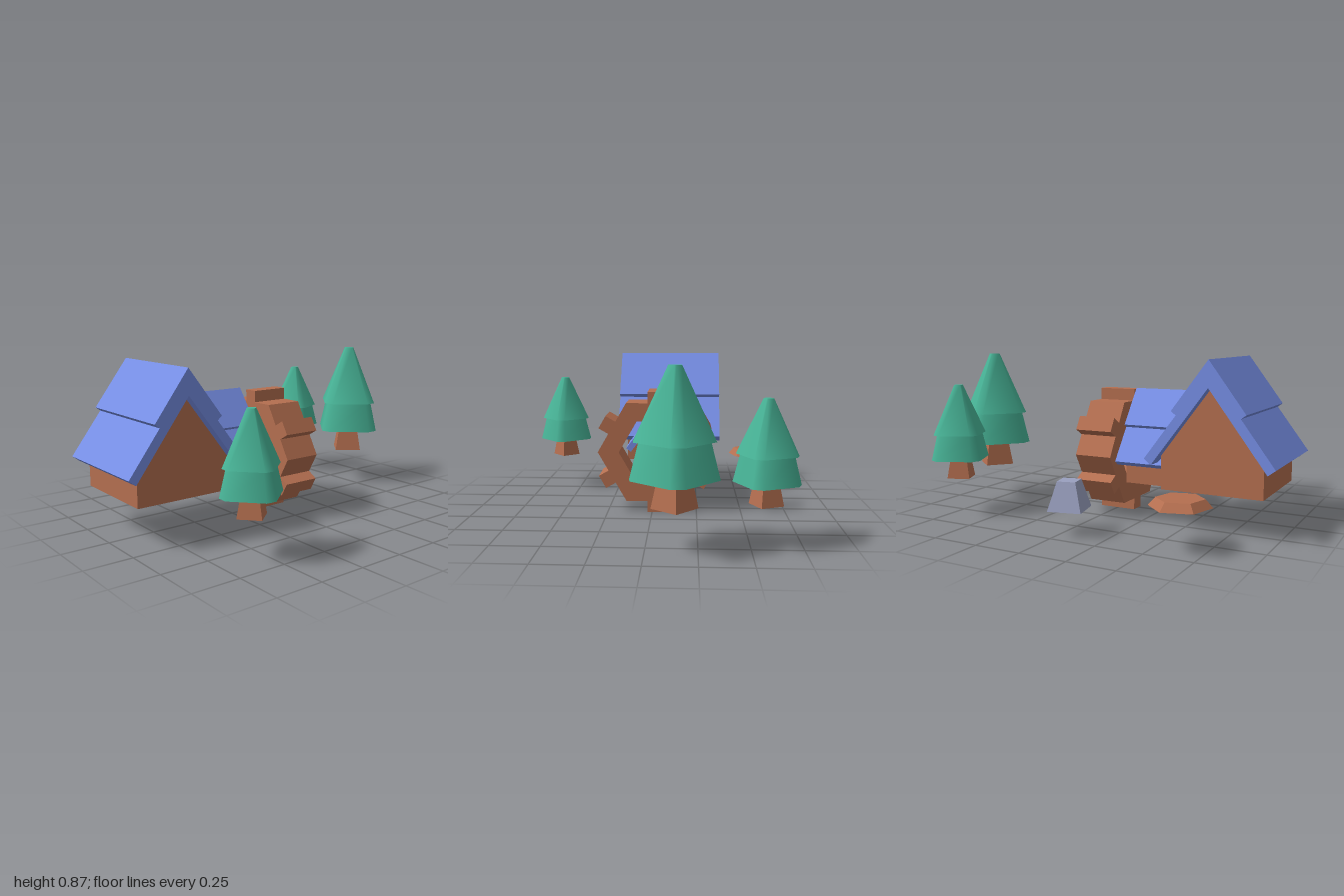
import * as THREE from 'three';

const brown = new THREE.MeshStandardMaterial({ color: 0xb56f50, side: THREE.DoubleSide });
const blue = new THREE.MeshStandardMaterial({ color: 0x778fe6 });
const green = new THREE.MeshStandardMaterial({ color: 0x48b497 });
const grey = new THREE.MeshStandardMaterial({ color: 0x9aa0bf, side: THREE.DoubleSide });
brown.name = 'brown wood';
blue.name = 'blue roof';
green.name = 'green foliage';
grey.name = 'grey stone';

const BASE = 0.205;
const rad = THREE.MathUtils.degToRad;

function add(parent, name, geometry, material, x = 0, y = 0, z = 0) {
  const mesh = new THREE.Mesh(geometry, material);
  mesh.name = name;
  mesh.position.set(x, y, z);
  parent.add(mesh);
  return mesh;
}

function polygon(points) {
  return new THREE.Shape(points.map(([x, y]) => new THREE.Vector2(x, y)));
}

// Extrusion centred on z
function extrude(shape, depth) {
  const g = new THREE.ExtrudeGeometry(shape, { depth, bevelEnabled: false });
  return g.translate(0, 0, -depth / 2);
}

// Tapered prism with flat faces
function prism(top, bottom, height, sides, open = false) {
  const g = new THREE.CylinderGeometry(top, bottom, height, sides, 1, open).toNonIndexed();
  g.computeVertexNormals();
  return g;
}

// Tapered square with narrow cut corners, smooth around
function foliage(top, bottom, height) {
  const g = new THREE.CylinderGeometry(top, bottom, height, 8, 1, false, Math.PI / 8);
  const p = g.attributes.position;
  for (let i = 0; i < p.count; i++) {
    const r = Math.hypot(p.getX(i), p.getZ(i));
    const a = Math.atan2(p.getX(i), p.getZ(i));
    const corner = Math.round(a / (Math.PI / 2)) * Math.PI / 2;
    const b = corner + (a - corner) * 0.42;
    p.setX(i, r * Math.sin(b));
    p.setZ(i, r * Math.cos(b));
  }
  return g;
}

// Gabled house with its ridge along z and a two-layer roof
function house(name, hasFloor) {
  const group = new THREE.Group();
  group.name = name;
  const w = 0.265, wall = 0.172, apex = 0.525, half = 0.26;
  const gable = polygon([[-w, 0], [w, 0], [w, wall], [0, apex], [-w, wall]]);
  for (const side of [1, -1]) {
    const end = add(group, 'gableWall', new THREE.ShapeGeometry(gable), brown, 0, 0, side * half);
    if (side < 0) end.rotation.y = Math.PI;
    const long = add(group, 'sideWall', new THREE.PlaneGeometry(half * 2, wall), brown, side * w, wall / 2, 0);
    long.rotation.y = side * Math.PI / 2;
  }
  if (hasFloor) {
    const floor = add(group, 'floor', new THREE.PlaneGeometry(w * 2, half * 2), brown);
    floor.rotation.x = Math.PI / 2;
  }
  const lower = polygon([[0, 0.605], [-0.335, 0.16], [-0.297, 0.131], [0, 0.525], [0.297, 0.131], [0.335, 0.16]]);
  const upper = polygon([[0, 0.66], [-0.19, 0.407], [-0.164, 0.387], [0, 0.605], [0.164, 0.387], [0.19, 0.407]]);
  add(group, 'lowerRoof', extrude(lower, 0.63), blue);
  add(group, 'upperRoof', extrude(upper, 0.63), blue);
  return group;
}

// Hexagonal ring with a paddle in the middle of each side
function waterWheel() {
  const group = new THREE.Group();
  group.name = 'waterWheel';
  const hexagon = (r) => Array.from({ length: 6 }, (_, i) =>
    [r * Math.cos(i * Math.PI / 3), r * Math.sin(i * Math.PI / 3)]);
  const ring = polygon(hexagon(0.32));
  ring.holes.push(polygon(hexagon(0.202)));
  add(group, 'wheelRing', extrude(ring, 0.21), brown);
  for (let i = 0; i < 6; i++) {
    const a = rad(30 + 60 * i);
    const r = 0.307;
    const paddle = add(group, 'paddle', new THREE.BoxGeometry(0.066, 0.08, 0.21), brown, r * Math.cos(a), r * Math.sin(a), 0);
    paddle.rotation.z = a;
  }
  return group;
}

function tree(x, z, scale, turn) {
  const group = new THREE.Group();
  group.name = 'tree';
  add(group, 'trunk', prism(0.057, 0.085, 0.13, 4), brown, 0, 0.065, 0);
  add(group, 'lowerFoliage', foliage(0.127, 0.161, 0.135), green, 0, 0.1725, 0);
  add(group, 'upperFoliage', foliage(0.024, 0.147, 0.265), green, 0, 0.3725, 0);
  group.position.set(x, BASE, z);
  group.scale.setScalar(scale);
  group.rotation.y = rad(turn);
  return group;
}

export function createModel() {
  const model = new THREE.Group();
  model.name = 'watermill';

  // Main house, ridge running left to right
  const main = house('mainHouse', false);
  main.position.set(-0.08, BASE, 0.665);
  main.rotation.y = Math.PI / 2;
  model.add(main);

  // Smaller wing running back towards the wheel
  const wing = house('backWing', true);
  wing.position.set(-0.08, BASE, 0.3615);
  wing.scale.setScalar(0.735);
  model.add(wing);

  const wheel = waterWheel();
  wheel.position.set(-0.015, 0.34, 0);
  model.add(wheel);

  // Trees
  model.add(tree(0.6, 0.57, 1, -4));
  model.add(tree(-0.14, -0.79, 1.31, 5));
  model.add(tree(-0.57, -0.7, 1, -20));

  // Stone, open underneath
  const stone = new THREE.Group();
  stone.name = 'stone';
  add(stone, 'stoneSides', prism(0.067, 0.122, 0.145, 4, true), grey);
  const cap = add(stone, 'stoneTop', new THREE.CircleGeometry(0.067, 4), grey, 0, 0.0725, 0);
  cap.rotation.x = -Math.PI / 2;
  stone.position.set(-0.625, 0.1975, 0.035);
  stone.rotation.y = rad(-32);
  model.add(stone);

  // Low mound
  const mound = add(model, 'mound', prism(0.115, 0.15, 0.04, 6), brown, -0.617, 0.225, 0.625);
  mound.rotation.y = rad(16);

  return model;
}
